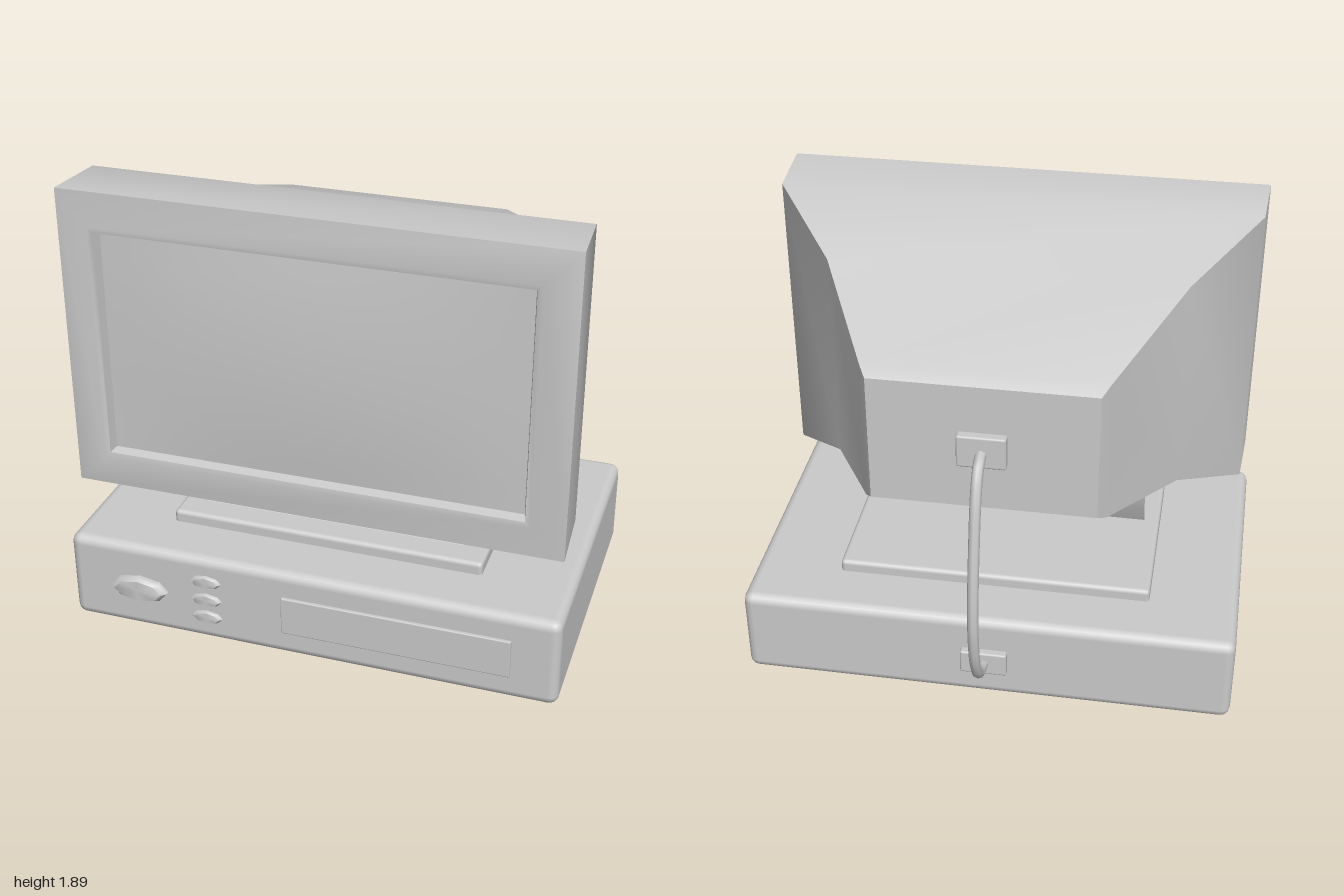
import * as THREE from 'three';
import { toCreasedNormals } from 'three/addons/utils/BufferGeometryUtils.js';
import { RoundedBoxGeometry } from 'three/addons/geometries/RoundedBoxGeometry.js';

const grey = new THREE.MeshStandardMaterial({ color: 0xcccccc });

function add(group, name, geometry, x = 0, y = 0, z = 0) {
  const mesh = new THREE.Mesh(geometry, grey);
  mesh.name = name;
  mesh.position.set(x, y, z);
  group.add(mesh);
  return mesh;
}

// Skin over four-cornered rings, listed counter-clockwise seen from the last ring
function loft(rings, capEnd = true, crease = 0.8) {
  const index = [];
  for (let r = 0; r < rings.length - 1; r++) {
    for (let i = 0; i < 4; i++) {
      const j = (i + 1) % 4, a = r * 4, b = a + 4;
      index.push(a + i, a + j, b + j, a + i, b + j, b + i);
    }
  }
  index.push(0, 2, 1, 0, 3, 2);
  const e = (rings.length - 1) * 4;
  if (capEnd) index.push(e, e + 1, e + 2, e, e + 2, e + 3);
  const g = new THREE.BufferGeometry();
  g.setAttribute('position', new THREE.Float32BufferAttribute(rings.flat(2), 3));
  g.setIndex(index);
  return toCreasedNormals(g, crease);
}

// Upright ring at depth z, and level ring at height y
const uprightRing = (z, w, y0, y1) => [[-w, y0, z], [w, y0, z], [w, y1, z], [-w, y1, z]];
const levelRing = (y, wFront, wBack, zFront, zBack) =>
  [[-wFront, y, zFront], [wFront, y, zFront], [wBack, y, zBack], [-wBack, y, zBack]];

// Box given by its limits, with softened edges
function softBox(group, name, [x0, x1], [y0, y1], [z0, z1], radius, segments = 2) {
  const g = new RoundedBoxGeometry(x1 - x0, y1 - y0, z1 - z0, segments, radius);
  return add(group, name, g, (x0 + x1) / 2, (y0 + y1) / 2, (z0 + z1) / 2);
}

// Oval button: eight-sided with a bevelled face
function button(group, name, x, y, rx, ry, depth) {
  const profile = [[1, 0], [1, 0.6], [0.82, 1], [0, 1]].map(([r, h]) => new THREE.Vector2(r, h));
  const g = new THREE.LatheGeometry(profile, 8);
  g.rotateX(Math.PI / 2);
  g.scale(rx, ry, depth);
  add(group, name, toCreasedNormals(g, 0.9), x, y, 0.725);
}

export function createModel() {
  const model = new THREE.Group();
  model.name = 'desktopComputer';

  // Case with drive cover and buttons
  const base = new THREE.Group();
  base.name = 'computerCase';
  model.add(base);
  softBox(base, 'caseBody', [-1, 1], [0.07, 0.45], [-0.515, 0.732], 0.04);
  softBox(base, 'driveCover', [-0.1, 0.815], [0.18, 0.343], [0.7, 0.745], 0.005, 1);
  button(base, 'powerButton', -0.7, 0.262, 0.12, 0.055, 0.04);
  for (const y of [0.347, 0.263, 0.182]) button(base, 'smallButton', -0.415, y, 0.064, 0.028, 0.022);

  // Tapered feet
  for (const x of [-0.735, 0.735]) {
    for (const z of [0.56, -0.34]) {
      const rings = [levelRing(0, 0.135, 0.135, 0.05, -0.05), levelRing(0.08, 0.17, 0.17, 0.078, -0.078)];
      add(base, 'foot', loft(rings), x, 0, z);
    }
  }

  // Stand: plate and bent neck
  const stand = new THREE.Group();
  stand.name = 'stand';
  model.add(stand);
  softBox(stand, 'standPlate', [-0.64, 0.64], [0.43, 0.5], [-0.285, 0.505], 0.018);
  const neck = [
    [0.48, 0.41, 0.208], [0.5, 0.395, 0.2], [0.59, 0.295, 0.16],
    [0.67, 0.265, 0.145], [0.72, 0.28, 0.135], [0.95, 0.3, 0.11],
  ];
  add(stand, 'standNeck', loft(neck.map(([y, zF, zB]) => levelRing(y, 0.54, 0.575, zF, zB))));

  // Monitor housing, back to front, then over the bezel into the screen recess
  const monitor = new THREE.Group();
  monitor.name = 'monitor';
  model.add(monitor);
  const shell = [
    [-0.51, 0.435, 1.01, 1.54],
    [-0.46, 0.465, 0.98, 1.57],
    [0.045, 0.705, 0.83, 1.72],
    [0.355, 0.96, 0.675, 1.88],
    [0.635, 0.975, 0.665, 1.89],
    [0.66, 0.845, 0.8, 1.76],
    [0.655, 0.825, 0.82, 1.74],
    [0.615, 0.815, 0.828, 1.732],
  ];
  add(monitor, 'monitorHousing', loft(shell.map((s) => uprightRing(...s)), false));

  // Gently bulging screen
  const screen = new THREE.PlaneGeometry(1.63, 0.904, 12, 8);
  const p = screen.attributes.position;
  for (let i = 0; i < p.count; i++) {
    const u = p.getX(i) / 0.815, v = p.getY(i) / 0.452;
    p.setZ(i, 0.025 * (1 - u * u) * (1 - v * v));
  }
  screen.computeVertexNormals();
  add(monitor, 'screen', screen, 0, 1.28, 0.615);

  // Cable with a plug at each end
  const cable = new THREE.Group();
  cable.name = 'cable';
  model.add(cable);
  softBox(cable, 'monitorPlug', [-0.095, 0.095], [1.21, 1.345], [-0.545, -0.49], 0.008, 1);
  softBox(cable, 'casePlug', [-0.095, 0.095], [0.2, 0.305], [-0.545, -0.49], 0.008, 1);
  const path = [
    [1.272, -0.53], [1.25, -0.6], [1.16, -0.655], [0.95, -0.708], [0.72, -0.744],
    [0.56, -0.746], [0.4, -0.712], [0.3, -0.652], [0.258, -0.585], [0.25, -0.53],
  ];
  const curve = new THREE.CatmullRomCurve3(path.map(([y, z]) => new THREE.Vector3(0, y, z)));
  add(cable, 'cableCord', new THREE.TubeGeometry(curve, 32, 0.022, 8));

  return model;
}
